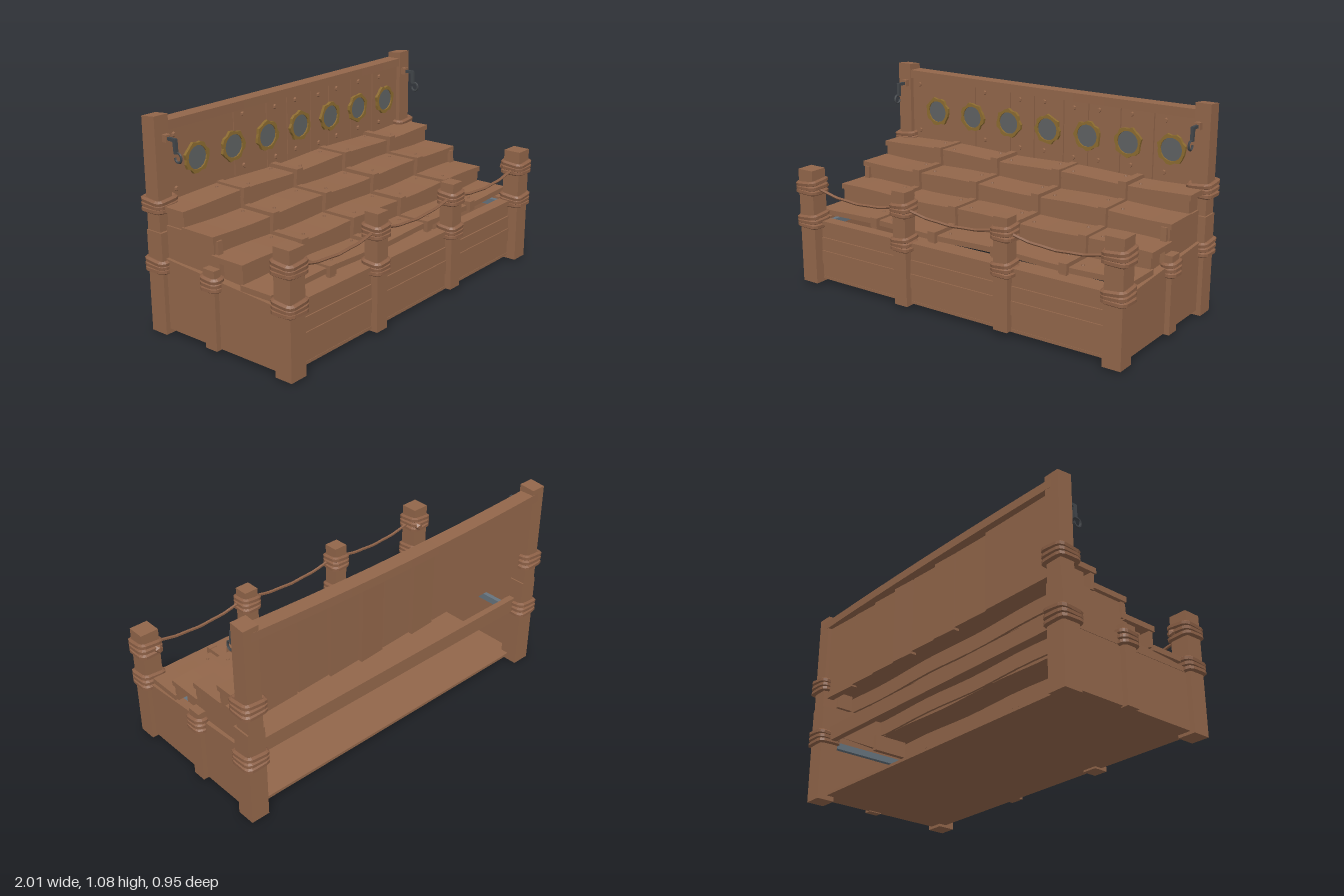
import * as THREE from 'three';

const material = (name, color) => {
  const m = new THREE.MeshStandardMaterial({ color, flatShading: true });
  m.name = name;
  return m;
};

export function createModel() {
  const model = new THREE.Group();
  model.name = 'steppedStand';
  const wood = material('brown wood', 0x92664a);
  const rope = material('brown rope', 0x8c6046);
  const brass = material('old brass', 0x8c6b30);
  const glass = material('grey glass', 0x5f6263);
  const iron = material('dark iron', 0x42464a);
  const steel = material('blue steel', 0x66737d);

  const add = (name, geo, mat, parent = model) => {
    const m = new THREE.Mesh(geo, mat);
    m.name = name;
    parent.add(m);
    return m;
  };
  // Box given by its limits on each axis
  const box = (name, mat, x0, x1, y0, y1, z0, z1, seg = 1) => {
    const g = new THREE.BoxGeometry(x1 - x0, y1 - y0, z1 - z0, seg, 1, 1);
    g.translate((x0 + x1) / 2, (y0 + y1) / 2, (z0 + z1) / 2);
    return add(name, g, mat);
  };
  // Move each vertex by a rule
  const bend = (mesh, rule) => {
    const p = mesh.geometry.attributes.position;
    const v = new THREE.Vector3();
    for (let i = 0; i < p.count; i++) {
      v.fromBufferAttribute(p, i);
      rule(v);
      p.setXYZ(i, v.x, v.y, v.z);
    }
    mesh.geometry.computeVertexNormals();
    return mesh;
  };
  // Outline in (z, y), extruded along x around a centre
  const sideCut = (name, mat, points, x, width) => {
    const shape = new THREE.Shape(points.map(([z, y]) => new THREE.Vector2(-z, y)));
    const g = new THREE.ExtrudeGeometry(shape, { depth: width, bevelEnabled: false });
    g.rotateY(Math.PI / 2).translate(x - width / 2, 0, 0);
    return add(name, g, mat);
  };
  const tube = (name, mat, pts, r, seg, closed = false, sides = 6) => {
    const curve = new THREE.CatmullRomCurve3(pts.map(p => new THREE.Vector3(...p)), closed, 'catmullrom', 0.3);
    return add(name, new THREE.TubeGeometry(curve, seg, r, sides, closed), mat);
  };
  // Three turns of rope wound round a post
  const coil = (x, y, z, hx, hz) => {
    for (let i = 0; i < 3; i++) {
      const a = hx + 0.006, b = hz + 0.006, c = 0.015, tilt = (i - 1) * 0.06 + 0.03;
      const pts = [[a, b - c], [a - c, b], [c - a, b], [-a, b - c], [-a, c - b], [c - a, -b], [a - c, -b], [a, c - b]]
        .map(([px, pz]) => [x + px, y + (i - 1) * 0.025 + px * tilt - pz * tilt, z + pz]);
      tube('ropeCoil', rope, pts, 0.015, 32, true);
    }
  };

  // Floor, plank front, sides and open back with its rail
  box('floor', wood, -0.95, 0.95, 0.025, 0.04, -0.4, 0.4);
  for (let i = 0; i < 4; i++) {
    const y = 0.04 + i * 0.0735, out = [0.398, 0.404, 0.4, 0.395][i];
    box('frontPlank', wood, -0.92, 0.92, y, y + 0.072, 0.37, out);
  }
  box('frontRail', wood, -0.9, 0.9, 0.334, 0.355, 0.345, 0.41);
  box('backRail', wood, -0.92, 0.92, 0.33, 0.41, -0.41, -0.375);
  for (const s of [-1, 1]) {
    const span = (a, b) => (s > 0 ? [a, b] : [-b, -a]);
    box('sidePanel', wood, ...span(0.93, 0.955), 0.025, 0.32, -0.38, 0.37);
    sideCut('sideRail', wood, [[0.36, 0.315], [0.36, 0.34], [-0.38, 0.39], [-0.38, 0.315]], s * 0.935, 0.045);
    box('sideBar', steel, ...span(0.88, 0.905), 0.3, 0.335, -0.38, 0.36);
    // Blocks under the ends of the steps
    sideCut('stepSupport', wood, [[-0.01, 0.375], [-0.02, 0.55], [-0.36, 0.55], [-0.36, 0.385]], s * 0.925, 0.03);
    sideCut('stepSupport', wood, [[0.1, 0.36], [0.1, 0.45], [-0.1, 0.45], [-0.1, 0.36]], s * 0.9, 0.03);
    box('stepSupport', wood, ...span(0.89, 0.93), 0.545, 0.635, -0.36, -0.27);

    // Corner posts and the short post in the middle of each side
    box('frontCornerPost', wood, ...span(0.882, 0.98), 0.01, 0.635, 0.356, 0.452);
    coil(s * 0.931, 0.54, 0.404, 0.049, 0.048);
    coil(s * 0.931, 0.355, 0.404, 0.049, 0.048);
    add('ropeKnot', new THREE.IcosahedronGeometry(0.025), rope).position.set(s * 0.9, 0.535, 0.345);
    box('backPostBase', wood, ...span(0.88, 0.98), 0, 0.52, -0.455, -0.356);
    bend(box('backPost', wood, ...span(0.888, 0.972), 0.5, 1.08, -0.455, -0.37),
      v => { if (v.y > 1) v.y -= v.z < -0.4 ? 0.008 : 0; });
    coil(s * 0.931, 0.65, -0.41, 0.05, 0.05);
    coil(s * 0.931, 0.35, -0.406, 0.05, 0.05);
    box('sidePost', wood, ...span(0.94, 0.982), 0.02, 0.42, -0.083, -0.01);
    coil(s * 0.96, 0.35, -0.046, 0.022, 0.037);

    // Front posts between the corners
    box('frontPost', wood, s * 0.31 - 0.04, s * 0.31 + 0.04, s > 0 ? 0.03 : 0.015, s > 0 ? 0.605 : 0.62, 0.356, 0.435);
    coil(s * 0.31, 0.525, 0.395, 0.04, 0.04);
    coil(s * 0.31, 0.345, 0.395, 0.04, 0.04);

    // Hook hanging from a wooden peg
    box('hookPeg', wood, ...span(0.9, 0.93), 0.952, 0.988, -0.372, -0.343);
    box('hookArm', iron, ...span(0.908, 0.922), 0.962, 0.978, -0.345, -0.293);
    sideCut('hookStem', iron, [[-0.29, 0.975], [-0.288, 0.905], [-0.304, 0.905], [-0.31, 0.975]], s * 0.915, 0.016);
    const arc = [];
    for (let i = 0; i <= 8; i++) {
      const t = 1.9 - i * 0.62;
      arc.push([s * 0.915, 0.888 + 0.023 * Math.sin(t), -0.283 + 0.021 * Math.cos(t)]);
    }
    tube('hook', iron, arc, 0.006, 20, false, 5);
  }

  // Four steps with risers; the treads sag a little between the straps
  const steps = [[0.32, 0.135, 0.395], [0.15, -0.045, 0.485], [-0.03, -0.235, 0.575], [-0.22, -0.39, 0.66]];
  const strapX = [-0.563, -0.18, 0.207, 0.597];
  steps.forEach(([front, back, y], i) => {
    const sag = v => { v.y += 0.005 * Math.sin(v.x * 8 + i * 2) - 0.003; };
    bend(box('tread', wood, -0.96, 0.96, y - 0.028, y, back, front, 16), sag);
    if (i) bend(box('riser', wood, -0.95, 0.95, y - 0.11, y - 0.02, front - 0.028, front - 0.006, 16), sag);
    // Nail heads beside each strap
    for (const x of strapX) for (const d of [-0.06, 0.07]) {
      add('nail', new THREE.CylinderGeometry(0.007, 0.009, 0.008, 6), wood)
        .position.set(x + d, y + 0.003, (front + back) / 2 + (d > 0 ? 0.045 : -0.04));
    }
  });
  // Straps that follow the steps
  const upper = [[0.34, 0.35]], lower = [[0.315, 0.35]];
  steps.forEach(([front, back, y], i) => {
    const end = i < 3 ? steps[i + 1][0] + 0.015 : -0.385;
    upper.push([front + 0.015, y + 0.013], [end, y + 0.013]);
    lower.push([front - 0.012, y - 0.015], [end - 0.027, y - 0.015]);
  });
  for (const x of strapX) {
    sideCut('strap', wood, [...upper, ...lower.reverse()], x, 0.036);
    lower.reverse();
    // Thicker lip at each step edge
    for (const [front, , y] of steps) box('strapLip', wood, x - 0.022, x + 0.022, y - 0.035, y + 0.016, front - 0.005, front + 0.022);
  }

  // Back wall of uneven upright planks
  const seams = [-0.9, -0.445, -0.21, -0.055, 0.13, 0.28, 0.47, 0.66, 0.9];
  for (let i = 0; i < seams.length - 1; i++) {
    const shift = [0, 0.006, -0.003, 0.004, -0.005, 0.002, 0.006, 0][i];
    const x0 = seams[i] + 0.003, x1 = seams[i + 1] - 0.003;
    bend(box('wallPlank', wood, x0, x1, 0.575 + shift, 1.0, -0.425 + shift, -0.395),
      v => { if (v.z < -0.41 && v.x > (x0 + x1) / 2) v.z -= 0.009; });
    for (const y of [0.7, 0.965]) {
      add('wallNail', new THREE.CylinderGeometry(0.011, 0.013, 0.012, 6).rotateX(Math.PI / 2), wood)
        .position.set(x0 + 0.06, y + shift, -0.39);
    }
  }
  // Gently bowed top rail
  bend(box('topRail', wood, -0.93, 0.93, 1.0, 1.045, -0.455, -0.375, 10), v => {
    const b = 1 - (v.x / 0.93) ** 2;
    v.z -= 0.02 * b;
    v.y -= 0.008 * b;
  });

  // Portholes with ragged brass rims
  [-0.705, -0.46, -0.215, 0.035, 0.28, 0.52, 0.765].forEach((x, k) => {
    const ring = new THREE.Shape();
    for (let i = 0; i < 20; i++) {
      const a = i / 20 * Math.PI * 2, r = 0.077 + 0.006 * Math.sin(i * 2.3 + k);
      ring[i ? 'lineTo' : 'moveTo'](r * Math.cos(a), r * Math.sin(a));
    }
    ring.closePath();
    ring.holes.push(new THREE.Path().absarc(0, 0, 0.06, 0, Math.PI * 2, true));
    add('portholeRim', new THREE.ExtrudeGeometry(ring, { depth: 0.018, bevelEnabled: false, curveSegments: 8 }), brass)
      .position.set(x, 0.825, -0.397);
    add('portholeGlass', new THREE.CylinderGeometry(0.063, 0.063, 0.008, 16).rotateX(Math.PI / 2), glass)
      .position.set(x, 0.825, -0.391);
  });

  // Ropes sagging between the front posts
  const ends = [-0.9, -0.31, 0.31, 0.9];
  for (let i = 0; i < 3; i++) {
    const pts = [];
    for (let j = 0; j <= 8; j++) {
      const t = j / 8;
      pts.push([ends[i] + (ends[i + 1] - ends[i]) * t, 0.535 - 0.16 * t * (1 - t) + 0.003 * (j % 2), 0.41]);
    }
    tube('hangingRope', rope, pts, 0.008, 28, false, 5);
  }
  return model;
}
